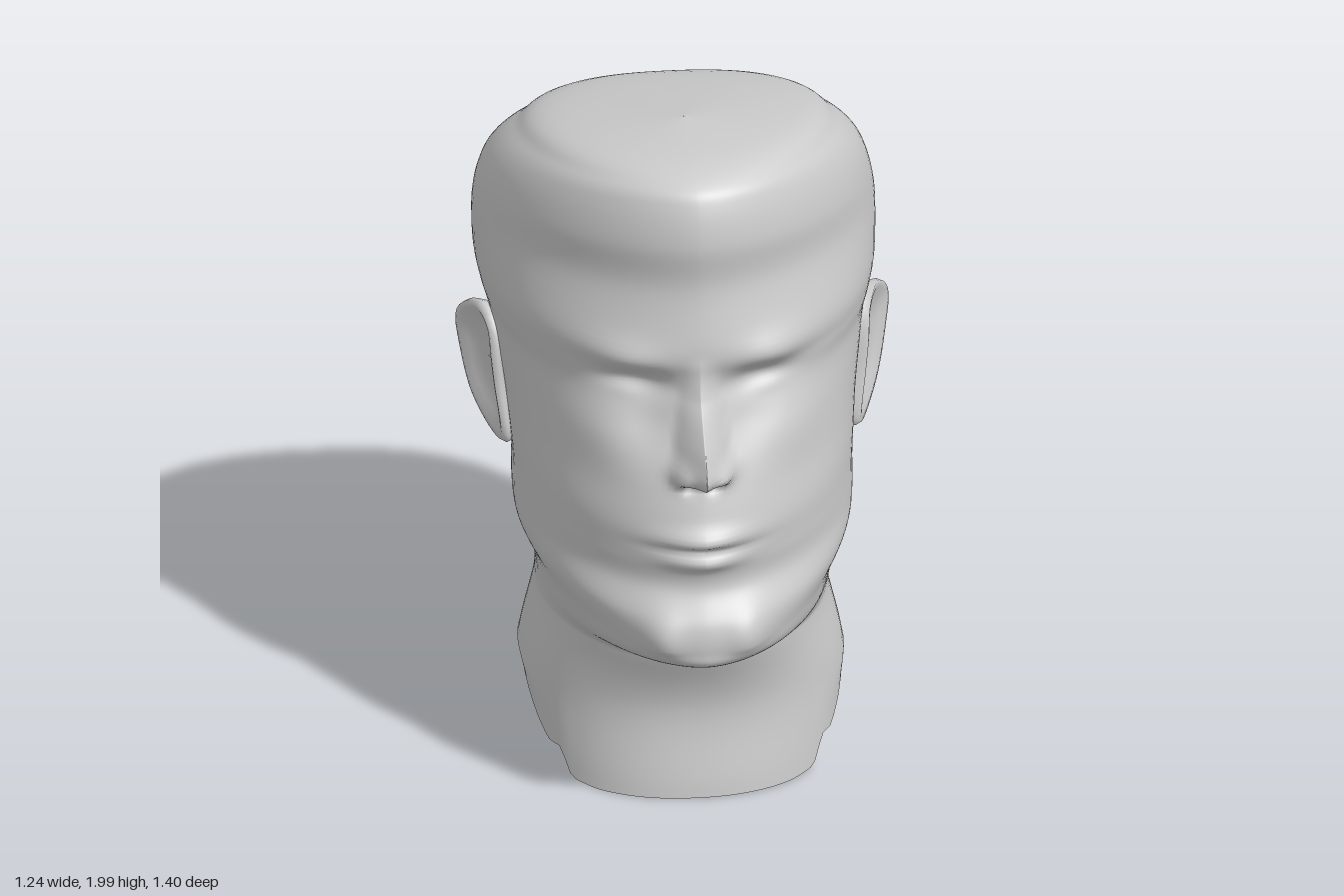
import * as THREE from 'three';

// Head cross-sections from neck to crown:
// [y front, y back, z front, z back, half width, z of widest point, front roundness]
const SECTIONS = [
  [0.01, 0.25, 0.43, -0.49, 0.455, -0.05, 2.2],
  [0.27, 0.27, 0.395, -0.48, 0.46, -0.05, 2.2],
  [0.45, 0.46, 0.45, -0.435, 0.42, -0.05, 2.1],
  [0.495, 0.53, 0.49, -0.45, 0.415, -0.03, 2],
  [0.555, 0.6, 0.66, -0.468, 0.42, 0, 1.8],
  [0.61, 0.69, 0.685, -0.468, 0.437, 0, 1.8],
  [0.69, 0.78, 0.675, -0.5, 0.475, 0, 1.8],
  [0.78, 0.86, 0.62, -0.53, 0.483, 0, 1.8],
  [0.86, 0.94, 0.625, -0.555, 0.482, 0, 1.8],
  [0.96, 1.03, 0.63, -0.583, 0.489, -0.03, 1.8],
  [1.08, 1.12, 0.595, -0.612, 0.5, -0.08, 1.8],
  [1.2, 1.22, 0.545, -0.645, 0.517, -0.13, 1.8],
  [1.31, 1.31, 0.505, -0.673, 0.535, -0.19, 1.85],
  [1.39, 1.38, 0.488, -0.69, 0.557, -0.23, 1.95],
  [1.48, 1.45, 0.492, -0.697, 0.57, -0.25, 1.95],
  [1.66, 1.55, 0.458, -0.697, 0.572, -0.25, 1.75],
  [1.8, 1.63, 0.468, -0.69, 0.555, -0.24, 1.75],
  [1.91, 1.7, 0.445, -0.65, 0.522, -0.22, 1.75],
  [1.965, 1.79, 0.4, -0.56, 0.46, -0.18, 1.8],
  [1.995, 1.89, 0.28, -0.43, 0.355, -0.13, 1.9],
  [1.995, 1.995, 0.031, 0.029, 0.001, 0.03, 2],
];

// Piecewise linear lookup through [position, value] pairs
function ramp(points, v) {
  if (v <= points[0][0]) return points[0][1];
  for (let i = 1; i < points.length; i++) {
    const [a, fa] = points[i - 1], [b, fb] = points[i];
    if (v <= b) return fa + ((fb - fa) * (v - a)) / (b - a);
  }
  return points[points.length - 1][1];
}

const bump = (x, y, cx, cy, sx, sy) => Math.exp(-(((x - cx) / sx) ** 2) - ((y - cy) / sy) ** 2);
const power = (v, e) => Math.sign(v) * Math.abs(v) ** e;

// Smooth interpolation between neighbouring sections
function sectionAt(t) {
  const last = SECTIONS.length - 1;
  const i = Math.min(Math.floor(t), last - 1), f = t - i;
  const at = (k) => SECTIONS[Math.max(0, Math.min(last, k))];
  return SECTIONS[i].map((b, k) => {
    const a = at(i - 1)[k], c = at(i + 1)[k], d = at(i + 2)[k];
    const m0 = (c - a) * 0.5, m1 = (d - b) * 0.5;
    return b + f * (m0 + f * (3 * (c - b) - 2 * m0 - m1 + f * (2 * (b - c) + m0 + m1)));
  });
}

// Skin over closed rings of equal length
function loft(name, rings) {
  const n = rings[0].length, index = [];
  for (let i = 0; i < rings.length - 1; i++) {
    for (let j = 0; j < n; j++) {
      const a = i * n + j, b = i * n + ((j + 1) % n);
      index.push(a, b, b + n, a, b + n, a + n);
    }
  }
  const geometry = new THREE.BufferGeometry();
  geometry.setAttribute('position', new THREE.Float32BufferAttribute(rings.flat(2), 3));
  geometry.setIndex(index);
  geometry.computeVertexNormals();
  const material = new THREE.MeshStandardMaterial({ color: 0xcccccc, side: THREE.DoubleSide });
  const mesh = new THREE.Mesh(geometry, material);
  mesh.name = name;
  return mesh;
}

const NOSE = [[1.095, 0], [1.13, 0.11], [1.16, 0.14], [1.22, 0.115], [1.33, 0.035], [1.46, 0]];
const NOSE_WIDTH = [[1.1, 0.09], [1.16, 0.085], [1.3, 0.065], [1.46, 0.05]];
const NECK_EDGE = [[-0.03, 0.25], [0.09, 0.18], [0.2, 0.1], [0.25, 0.1], [0.285, 0.02], [0.35, 0.01]];

// Facial relief added to the front of the head
function relief(x, y) {
  const ax = Math.abs(x);
  let d = ramp(NOSE, y) * Math.max(0, 1 - ax / ramp(NOSE_WIDTH, y));
  d += 0.035 * bump(ax, y, 0.065, 1.135, 0.03, 0.03); // nostril wings
  d -= 0.025 * bump(ax, y, 0.035, 1.1, 0.018, 0.014); // nostrils
  d -= 0.042 * bump(ax, y, 0.17, 1.36, 0.1, 0.045); // eye sockets
  d -= 0.02 * bump(ax, y, 0.14, 1.27, 0.08, 0.08); // beside the nose
  d += 0.012 * bump(ax, y, 0.2, 1.335, 0.06, 0.025); // eyelids
  d += 0.025 * bump(ax, y, 0.22, 1.45, 0.1, 0.05); // brows
  d += 0.025 * bump(ax, y, 0.28, 1.2, 0.1, 0.09); // cheekbones
  d += 0.028 * bump(ax, y, 0, 0.945, 0.12, 0.03); // upper lip
  d += 0.026 * bump(ax, y, 0, 0.875, 0.11, 0.025); // lower lip
  d -= 0.014 * bump(ax, y, 0, 0.912, 0.13, 0.012); // mouth line
  d += 0.03 * bump(ax, y, 0.13, 0.64, 0.06, 0.09); // chin corners
  return d;
}

function makeHead() {
  const columns = 120, steps = 8, rings = [];
  for (let r = 0; r <= (SECTIONS.length - 1) * steps; r++) {
    const t = r / steps;
    const [yf, yb, zf, zb, w, zw, n] = sectionAt(t);
    const ring = [];
    for (let j = 0; j < columns; j++) {
      // Columns crowd together towards the face
      const angle = Math.PI * power((2 * j) / columns - 1, 1.5);
      const c = Math.cos(angle), e = 2 / (c > 0 ? n : 2.4);
      const x = w * power(Math.sin(angle), e);
      let z = zw + power(Math.abs(c), e) * (c > 0 ? zf - zw : zb - zw);
      let y = yf + ((yb - yf) * (zf - z)) / (zf - zb);
      if (t < 1) y = ramp(NECK_EDGE, z) * (1 - t) + 0.27 * t; // cut neck edge
      if (c > 0 && t > 4) z += relief(x, y) * Math.min(1, t - 4);
      ring.push([x, y, z]);
    }
    rings.push(ring);
  }
  return loft('head', rings);
}

// Ear outline as [z, y], and rings as [scale, outward offset]
const EAR = [[-0.18, 1.32], [-0.09, 1.28], [-0.05, 1.1], [-0.03, 0.94], [-0.09, 0.935],
  [-0.22, 1.0], [-0.28, 1.12], [-0.295, 1.24]];
const EAR_RINGS = [[0.85, -0.14], [0.94, -0.05], [1, -0.012], [0.96, 0.004], [0.86, 0.002],
  [0.72, -0.012], [0.45, -0.03], [0.01, -0.03]];

function makeEar(side) {
  const curve = new THREE.CatmullRomCurve3(EAR.map(([z, y]) => new THREE.Vector3(0, y, z)), true);
  const outline = curve.getPoints(40).slice(0, -1);
  if (side < 0) outline.reverse();
  const rings = EAR_RINGS.map(([scale, out]) => outline.map((p) => {
    const y = 1.15 + (p.y - 1.15) * scale, z = -0.16 + (p.z + 0.16) * scale;
    const x = 0.512 - z * 0.35 - Math.abs(y - 1.2) * 0.06 + out;
    return [side * x, y, z];
  }));
  return loft(side > 0 ? 'leftEar' : 'rightEar', rings);
}

export function createModel() {
  const group = new THREE.Group();
  group.name = 'headBust';
  group.add(makeHead(), makeEar(1), makeEar(-1));
  return group;
}
